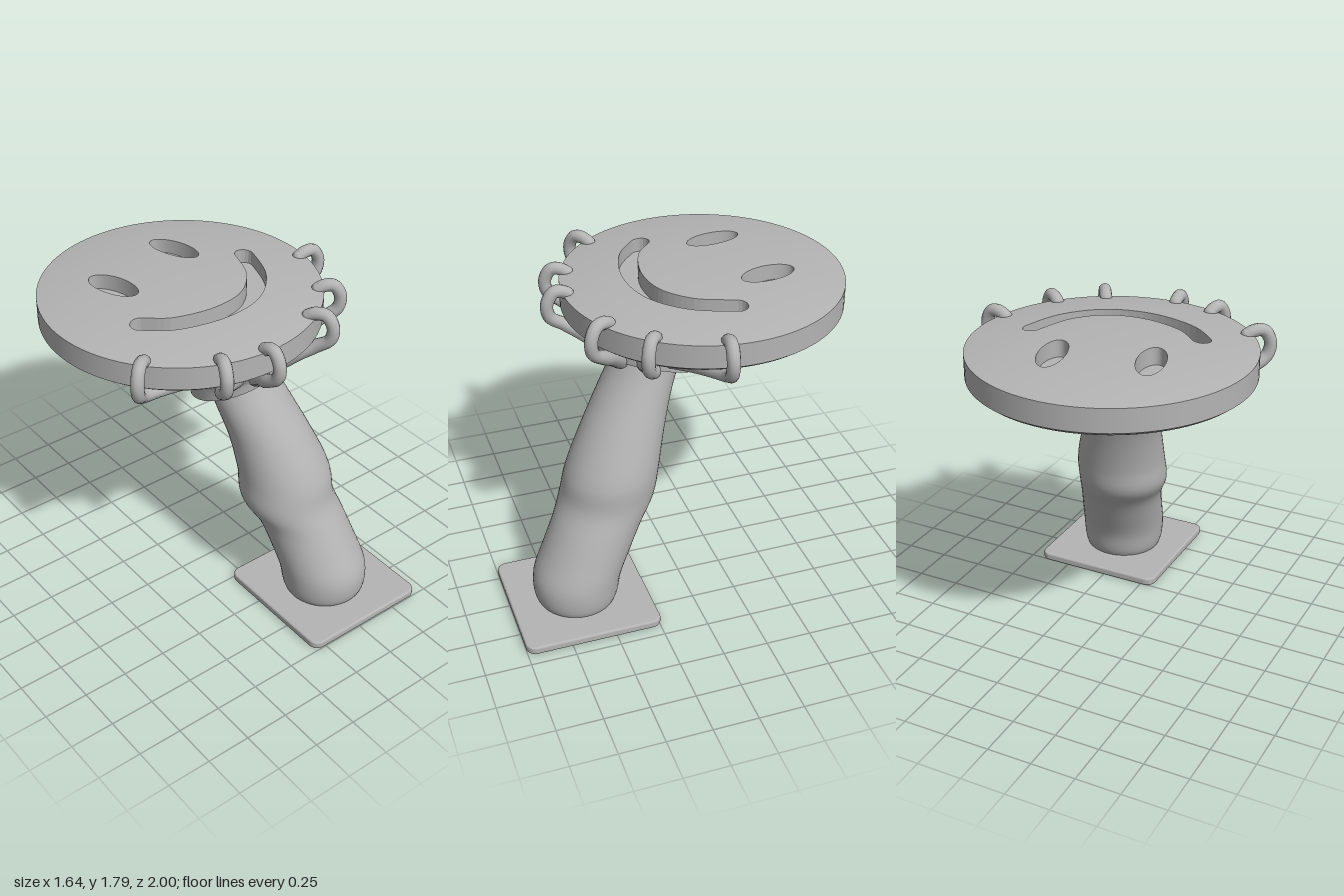
import * as THREE from 'three';

const grey = new THREE.MeshStandardMaterial({ color: 0xb4b4b4 });
grey.name = 'plainGrey';

const V = (x, y, z) => new THREE.Vector3(x, y, z);
const DISC = { x: -0.06, z: -0.235, r: 0.765 };
const POCKET_Y = 1.68;

// Height of the domed disc top
function domeY(x, z) {
  const r = Math.hypot(x - DISC.x, z - DISC.z) / DISC.r;
  return 1.78 - 0.055 * r ** 2.3;
}

function add(parent, name, geometry) {
  const mesh = new THREE.Mesh(geometry, grey);
  mesh.name = name;
  parent.add(mesh);
  return mesh;
}

// Smooth skin through closed rings ordered from bottom to top
function loft(rings) {
  const n = rings[0].length, index = [];
  for (let i = 0; i < rings.length - 1; i++) {
    for (let j = 0; j < n; j++) {
      const k = (j + 1) % n;
      const a = i * n + j, b = i * n + k, c = a + n, d = b + n;
      index.push(a, c, d, a, d, b);
    }
  }
  const g = new THREE.BufferGeometry().setFromPoints(rings.flat());
  g.setIndex(index);
  g.computeVertexNormals();
  return g;
}

// Elliptical ring, with optional slopes along x and z
function ring(cx, cy, cz, rx, rz, sx = 0, sz = 0, n = 48) {
  return Array.from({ length: n }, (_, i) => {
    const a = (i / n) * Math.PI * 2, x = rx * Math.cos(a), z = rz * Math.sin(a);
    return V(cx + x, cy + sx * x + sz * z, cz + z);
  });
}

// Outlines are drawn in (x, -z)
function eyeOutline(x, z) {
  const p = new THREE.Path();
  p.absellipse(x, -z, 0.165, 0.075, 0, Math.PI * 2, false, 1.82);
  return p.getPoints(40).slice(0, -1);
}

function mouthOutline() {
  const mid = new THREE.SplineCurve([
    [-0.47, 0.02], [-0.33, -0.09], [-0.09, -0.147], [0.14, -0.105], [0.31, 0.05], [0.395, 0.265],
  ].map(([x, y]) => new THREE.Vector2(x, y)));
  const w = 0.052, n = 28, pts = [];
  const offset = (t, turn) => {
    const p = mid.getPointAt(t), d = mid.getTangentAt(t), a = Math.atan2(d.y, d.x) + turn;
    pts.push(new THREE.Vector2(p.x + w * Math.cos(a), p.y + w * Math.sin(a)));
  };
  for (let i = 0; i <= n; i++) offset(i / n, -Math.PI / 2);
  for (let i = 1; i < 8; i++) offset(1, -Math.PI / 2 + (i * Math.PI) / 8);
  for (let i = n; i >= 0; i--) offset(i / n, Math.PI / 2);
  for (let i = 1; i < 8; i++) offset(0, Math.PI / 2 + (i * Math.PI) / 8);
  return pts;
}

// Disc top with holes, split finely enough to follow the dome
function domeTop(outlines) {
  const shape = new THREE.Shape();
  shape.absarc(DISC.x, -DISC.z, DISC.r, 0, Math.PI * 2);
  shape.holes = outlines.map((o) => new THREE.Path(o));
  const flat = new THREE.ShapeGeometry(shape, 48).toNonIndexed().attributes.position;
  const pos = [], nor = [];
  const emit = (p) => {
    const e = 0.005, x = p.x, z = -p.y;
    pos.push(x, domeY(x, z), z);
    const nrm = V(domeY(x - e, z) - domeY(x + e, z), 2 * e, domeY(x, z - e) - domeY(x, z + e)).normalize();
    nor.push(nrm.x, nrm.y, nrm.z);
  };
  const split = (a, b, c) => {
    const ab = a.distanceTo(b), bc = b.distanceTo(c), ca = c.distanceTo(a);
    const longest = Math.max(ab, bc, ca);
    if (longest < 0.1) return [a, b, c].forEach(emit);
    if (longest === bc) [a, b, c] = [b, c, a];
    else if (longest === ca) [a, b, c] = [c, a, b];
    const m = a.clone().add(b).multiplyScalar(0.5);
    split(a, m, c);
    split(m, b, c);
  };
  const at = (i) => V().fromBufferAttribute(flat, i);
  for (let i = 0; i < flat.count; i += 3) split(at(i), at(i + 1), at(i + 2));
  const g = new THREE.BufferGeometry();
  g.setAttribute('position', new THREE.Float32BufferAttribute(pos, 3));
  g.setAttribute('normal', new THREE.Float32BufferAttribute(nor, 3));
  return g;
}

// Inward-facing wall of a sunken feature
function pocketWall(outline) {
  const pts = [];
  outline.forEach((a, i) => {
    const b = outline[(i + 1) % outline.length];
    const [at, bt] = [a, b].map((p) => V(p.x, domeY(p.x, -p.y), -p.y));
    const [ab, bb] = [a, b].map((p) => V(p.x, POCKET_Y, -p.y));
    pts.push(at, bt, bb, at, bb, ab);
  });
  const g = new THREE.BufferGeometry().setFromPoints(pts);
  g.computeVertexNormals();
  return g;
}

function makeDisc() {
  const disc = new THREE.Group();
  disc.name = 'faceDisc';
  const outlines = {
    rightEye: eyeOutline(-0.37, -0.41), leftEye: eyeOutline(0.12, -0.54), mouth: mouthOutline(),
  };
  add(disc, 'discTop', domeTop(Object.values(outlines)));
  for (const [name, o] of Object.entries(outlines)) {
    add(disc, name + 'Wall', pocketWall(o));
    const floor = new THREE.ShapeGeometry(new THREE.Shape(o)).rotateX(-Math.PI / 2);
    add(disc, name + 'Floor', floor.translate(0, POCKET_Y, 0));
  }
  const lathe = (name, profile) => {
    const pts = profile.map(([r, y]) => new THREE.Vector2(r, y));
    add(disc, name, new THREE.LatheGeometry(pts, 96).translate(DISC.x, 0, DISC.z));
  };
  lathe('discRim', [[DISC.r, 1.595], [DISC.r, 1.725]]);
  lathe('discUnderside', [[0, 1.525], [0.3, 1.532], [0.55, 1.545], [0.69, 1.56], [0.74, 1.575], [DISC.r, 1.595]]);
  return disc;
}

// Hooked finger: q = tip on the disc, p = outermost point, then back under to the palm
function makeFinger([qx, qz], [px, pz]) {
  const len = Math.hypot(px - qx, pz - qz), dx = (px - qx) / len, dz = (pz - qz) / len;
  const at = (s, y) => V(qx + dx * s, y, qz + dz * s);
  const toPalm = V(px - 0.05, 0, pz - 0.12).normalize();
  const under = at(len - 0.13, 1.548);
  const root = V(0.05 + toPalm.x * 0.24, 1.45, 0.12 + toPalm.z * 0.24);
  const path = new THREE.CatmullRomCurve3([
    at(0.015, 1.728), at(0.05, 1.746), at(len - 0.075, 1.745), at(len - 0.036, 1.68),
    at(len - 0.05, 1.605), under, under.clone().lerp(root, 0.5).add(V(0, 0.005, 0)), root,
  ]);
  const n = 48, sides = 12, r = 0.035;
  const g = new THREE.TubeGeometry(path, n, r, sides);
  // Thicken the lower part towards the palm
  const pos = g.attributes.position, v = V();
  for (let i = 0; i <= n; i++) {
    const c = path.getPointAt(i / n), k = 1 + 1.2 * Math.max(0, i / n - 0.55);
    for (let j = 0; j <= sides; j++) {
      const id = i * (sides + 1) + j;
      v.fromBufferAttribute(pos, id).sub(c).multiplyScalar(k).add(c);
      pos.setXYZ(id, v.x, v.y, v.z);
    }
  }
  const finger = new THREE.Group();
  finger.name = 'finger';
  add(finger, 'fingerHook', g);
  add(finger, 'fingerTip', new THREE.SphereGeometry(r, 12, 8)).position.copy(path.getPointAt(0));
  return finger;
}

export function createModel() {
  const model = new THREE.Group();
  model.name = 'handHoldingFaceDisc';

  // Base plate with rounded corners
  const w = 0.37, c = 0.045, s = new THREE.Shape();
  s.absarc(w - c, w - c, c, 0, Math.PI / 2);
  s.absarc(c - w, w - c, c, Math.PI / 2, Math.PI);
  s.absarc(c - w, c - w, c, Math.PI, Math.PI * 1.5);
  s.absarc(w - c, c - w, c, Math.PI * 1.5, Math.PI * 2);
  const plate = new THREE.ExtrudeGeometry(s, {
    depth: 0.024, bevelSize: 0.011, bevelThickness: 0.011, bevelSegments: 3, curveSegments: 6,
  });
  add(model, 'basePlate', plate.rotateX(-Math.PI / 2).translate(0.304, 0.011, 0.62));

  // Leaning arm: y, centre x, centre z, half widths
  const stations = [
    [0.03, 0.305, 0.625, 0.215, 0.21], [0.08, 0.302, 0.625, 0.235, 0.232], [0.2, 0.295, 0.612, 0.245, 0.245],
    [0.35, 0.27, 0.545, 0.242, 0.247], [0.5, 0.238, 0.47, 0.242, 0.25], [0.63, 0.193, 0.4, 0.259, 0.262],
    [0.78, 0.19, 0.368, 0.255, 0.258], [1.0, 0.147, 0.29, 0.228, 0.23], [1.2, 0.092, 0.2, 0.21, 0.202],
    [1.32, 0.065, 0.142, 0.197, 0.19], [1.46, 0.04, 0.085, 0.185, 0.18],
  ];
  const centres = new THREE.CatmullRomCurve3(stations.map(([y, x, z]) => V(x, y, z)));
  const widths = new THREE.CatmullRomCurve3(stations.map(([y, , , a, b]) => V(a, y, b)));
  add(model, 'arm', loft(Array.from({ length: 41 }, (_, i) => {
    const p = centres.getPoint(i / 40), h = widths.getPoint(i / 40);
    return ring(p.x, p.y, p.z, h.x, h.z);
  })));

  // Cuff and palm flaring up to the disc
  const cuff = (r, y) => ring(0.06, y, 0.12, r, r, 0.29, 0.33);
  add(model, 'cuffUnderside', loft([cuff(0.14, 1.33), cuff(0.26, 1.33)]));
  add(model, 'palm', loft([
    cuff(0.26, 1.33), cuff(0.262, 1.375), ring(0.055, 1.42, 0.115, 0.268, 0.272, 0.2, 0.22),
    ring(0.04, 1.47, 0.1, 0.31, 0.32, 0.08, 0.1), ring(0.03, 1.51, 0.08, 0.38, 0.39), ring(0.02, 1.55, 0.06, 0.47, 0.47),
  ]));

  model.add(makeDisc());

  // Fingers curled over the rim: tip, outermost point
  [
    [[0.64, -0.11], [0.82, -0.085]], [[0.5, 0.21], [0.645, 0.31]], [[0.29, 0.38], [0.39, 0.54]],
    [[-0.08, 0.49], [-0.075, 0.655]], [[-0.31, 0.43], [-0.37, 0.59]], [[-0.61, 0.22], [-0.75, 0.34]],
  ].forEach(([q, p]) => model.add(makeFinger(q, p)));

  return model;
}
